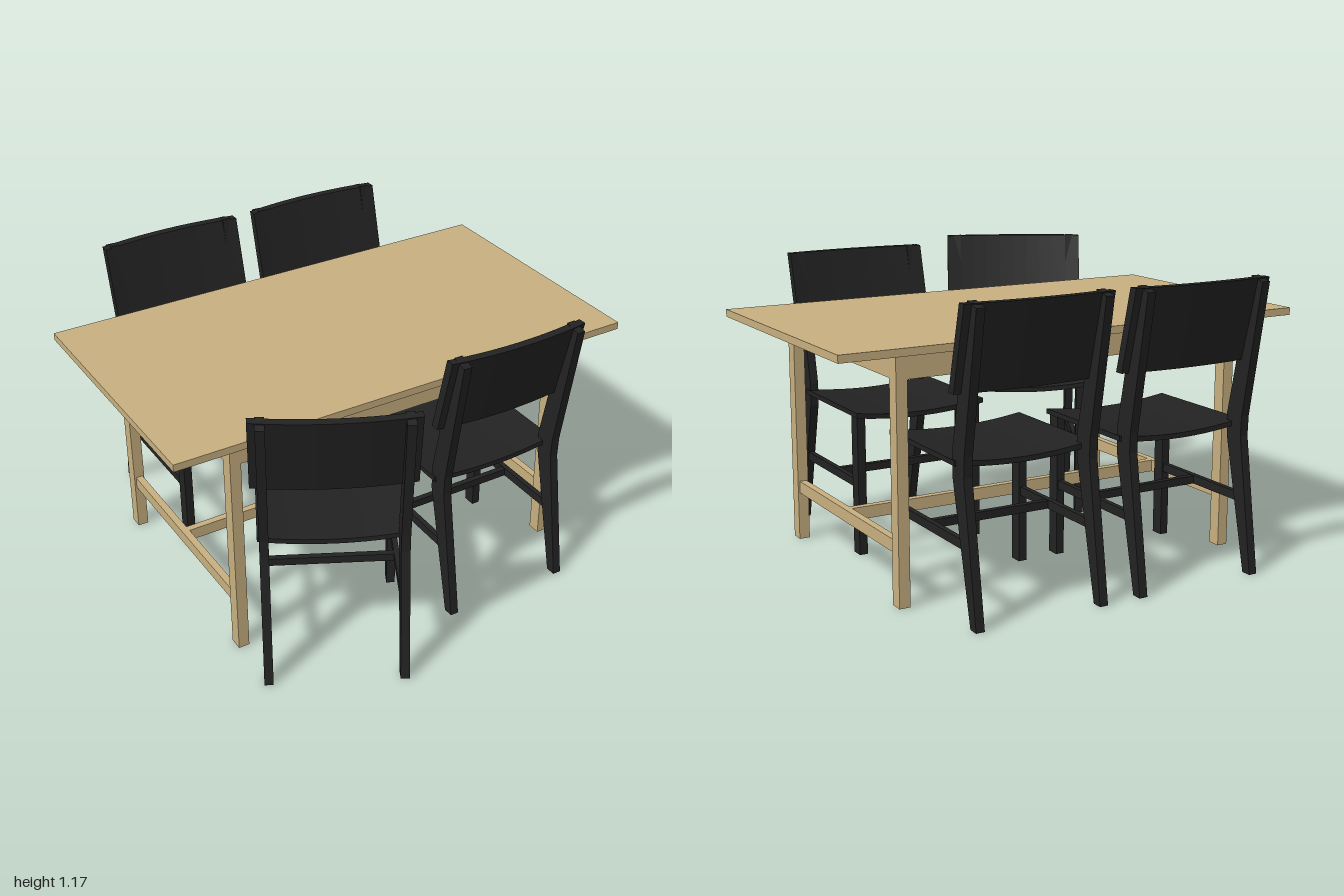
import * as THREE from 'three';

const wood = new THREE.MeshStandardMaterial({ color: 0xc8b080 });
wood.name = 'light wood';
const black = new THREE.MeshStandardMaterial({ color: 0x222222 });
black.name = 'black paint';

function add(parent, name, geometry, material) {
  const mesh = new THREE.Mesh(geometry, material);
  mesh.name = name;
  parent.add(mesh);
  return mesh;
}

// Box given by its [min, max] range on each axis
function box(parent, name, material, [x0, x1], [y0, y1], [z0, z1]) {
  const mesh = add(parent, name, new THREE.BoxGeometry(x1 - x0, y1 - y0, z1 - z0), material);
  mesh.position.set((x0 + x1) / 2, (y0 + y1) / 2, (z0 + z1) / 2);
  return mesh;
}

// Strip bowed downwards in the shape plane: middle lies `bow` below the ends
function bowedStrip(halfWidth, top, thickness, bow, depth) {
  const n = 10, shape = new THREE.Shape();
  const curve = (x) => top - bow * (1 - (x / halfWidth) ** 2);
  for (let i = 0; i <= n; i++) {
    const x = -halfWidth + (2 * halfWidth * i) / n;
    if (i === 0) shape.moveTo(x, curve(x) - thickness);
    else shape.lineTo(x, curve(x) - thickness);
  }
  for (let i = n; i >= 0; i--) {
    const x = -halfWidth + (2 * halfWidth * i) / n;
    shape.lineTo(x, curve(x));
  }
  return new THREE.ExtrudeGeometry(shape, { depth, bevelEnabled: false });
}

// Bent rear leg running up into the back post, as [z, y] side outline
function postGeometry() {
  const outline = [
    [-0.32, 0], [-0.278, 0], [-0.152, 0.53], [-0.15, 0.62], [-0.265, 1.17],
    [-0.33, 1.153], [-0.238, 0.62], [-0.235, 0.54],
  ];
  const shape = new THREE.Shape(outline.map(([z, y]) => new THREE.Vector2(-z, y)));
  const geometry = new THREE.ExtrudeGeometry(shape, { depth: 0.035, bevelEnabled: false });
  geometry.translate(0, 0, -0.0175);
  return geometry.rotateY(Math.PI / 2);
}

// Backrest panel, bowed backwards and leaning with the posts
function backrestGeometry() {
  const y0 = 0.84, y1 = 1.165;
  const geometry = bowedStrip(0.305, -0.178, 0.036, 0.026, y1 - y0);
  geometry.rotateX(Math.PI / 2).translate(0, y1, 0);
  const p = geometry.attributes.position;
  for (let i = 0; i < p.count; i++) {
    p.setZ(i, p.getZ(i) - 0.25 * (p.getY(i) - y0));
  }
  geometry.computeVertexNormals();
  return geometry;
}

function createChair(name, x, z, turn) {
  const chair = new THREE.Group();
  chair.name = name;

  // Saddled seat
  const seat = add(chair, 'seat', bowedStrip(0.285, 0.595, 0.02, 0.022, 0.52), black);
  seat.position.z = -0.18;
  add(chair, 'backrest', backrestGeometry(), black);

  // Legs and side rails
  for (const side of [-1, 1]) {
    const label = side > 0 ? 'left' : 'right';
    const cx = side * 0.26;
    add(chair, label + 'RearLeg', postGeometry(), black).position.x = cx;
    box(chair, label + 'FrontLeg', black, [cx - 0.0175, cx + 0.0175], [0, 0.58], [0.267, 0.322]);
    box(chair, label + 'SideRail', black, [cx - 0.011, cx + 0.011], [0.275, 0.31], [-0.24, 0.28]);
  }
  box(chair, 'crossRail', black, [-0.255, 0.255], [0.275, 0.307], [0.06, 0.085]);

  chair.position.set(x, 0, z);
  chair.rotation.y = turn;
  return chair;
}

function createTable() {
  const table = new THREE.Group();
  table.name = 'table';
  box(table, 'tableTop', wood, [-0.998, 0.998], [0.95, 0.98], [-0.552, 0.552]);

  for (const sx of [-1, 1]) {
    // Legs
    for (const sz of [-1, 1]) {
      const leg = box(table, 'tableLeg', wood, [-0.0225, 0.0225], [0, 0.95], [-0.0275, 0.0275]);
      leg.position.x = sx * 0.7325;
      leg.position.z = sz * 0.4725;
    }
    // End apron and low end rail
    box(table, 'endApron', wood, [-0.015, 0.015], [0.855, 0.95], [-0.445, 0.445])
      .position.x = sx * 0.739;
    box(table, 'endRail', wood, [-0.015, 0.015], [0.2, 0.25], [-0.445, 0.445])
      .position.x = sx * 0.7325;
  }
  // Long aprons and the central low rail
  for (const sz of [-1, 1]) {
    box(table, 'longApron', wood, [-0.71, 0.71], [0.855, 0.95], [-0.015, 0.015])
      .position.z = sz * 0.484;
  }
  box(table, 'centreRail', wood, [-0.72, 0.72], [0.2, 0.25], [-0.015, 0.015]);

  table.position.z = -0.073;
  table.rotation.y = 0.003;
  return table;
}

export function createModel() {
  const model = new THREE.Group();
  model.name = 'diningSet';
  model.add(
    createTable(),
    createChair('rearLeftChair', 0.347, -0.6, 0),
    createChair('rearRightChair', -0.35, -0.6, 0),
    createChair('frontLeftChair', 0.347, 0.375, Math.PI),
    createChair('frontRightChair', -0.378, 0.51, Math.PI - 0.471), // pulled out at an angle
  );
  return model;
}
